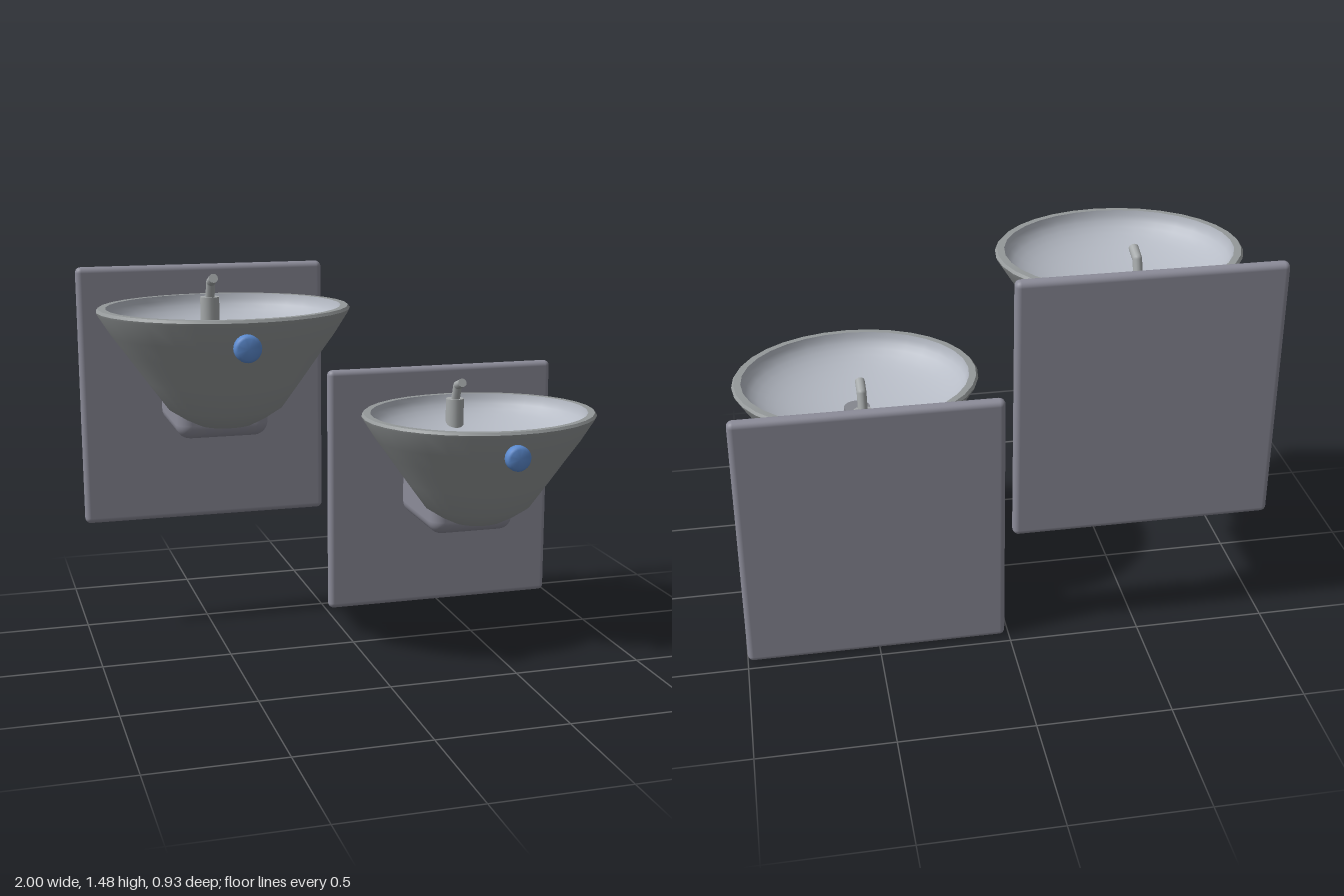
import * as THREE from 'three';
import { toCreasedNormals } from 'three/addons/utils/BufferGeometryUtils.js';
import { RoundedBoxGeometry } from 'three/addons/geometries/RoundedBoxGeometry.js';

const material = (name, color) => new THREE.MeshStandardMaterial({ name, color });

function part(name, geometry, mat, x = 0, y = 0, z = 0) {
  const mesh = new THREE.Mesh(geometry, mat);
  mesh.name = name;
  mesh.position.set(x, y, z);
  return mesh;
}

// Surface of revolution; ascending points face outward
function lathe(points, segments, crease = 0.5) {
  const geometry = new THREE.LatheGeometry(points.map(([r, y]) => new THREE.Vector2(r, y)), segments);
  return toCreasedNormals(geometry, crease);
}

// Round rod between two points
function rod(name, from, to, radius, mat) {
  const a = new THREE.Vector3(...from), b = new THREE.Vector3(...to);
  const mesh = part(name, new THREE.CylinderGeometry(radius, radius, a.distanceTo(b), 12), mat);
  mesh.position.copy(a).add(b).multiplyScalar(0.5);
  mesh.quaternion.setFromUnitVectors(new THREE.Vector3(0, 1, 0), b.sub(a).normalize());
  return mesh;
}

function createFountain(mats) {
  const fountain = new THREE.Group();
  const rimY = 0.922, depth = 0.155, ratio = 0.87, bowlZ = 0.033;

  // Wall panel and the arm that carries the basin
  fountain.add(part('wallPanel', new RoundedBoxGeometry(0.985, 1.03, 0.05, 3, 0.022), mats.panel, 0, 0.515, -0.44));
  fountain.add(part('supportArm', new RoundedBoxGeometry(0.355, 0.355, 0.43, 4, 0.055), mats.panel, 0, 0.588, -0.215));

  // Oval basin: outer shell with rim, and a shallow inner bowl
  const basin = new THREE.Group();
  basin.name = 'basin';
  basin.position.set(0, rimY, bowlZ);
  basin.scale.z = ratio;
  basin.add(part('basinShell', lathe([
    [0, -0.445], [0.1, -0.445], [0.155, -0.418], [0.214, -0.38], [0.29, -0.275],
    [0.364, -0.17], [0.415, -0.1], [0.467, -0.018], [0.47, -0.01], [0.462, 0], [0.435, 0],
  ], 32), mats.shell));
  const inner = [];
  for (let i = 0; i <= 12; i++) {
    const t = (i / 12) * Math.PI / 2;
    inner.push([0.435 * Math.cos(t), -depth * Math.sin(t)]);
  }
  basin.add(part('innerBowl', lathe(inner, 32, 1), mats.bowl));
  fountain.add(basin);

  // Drain cover on the bowl floor
  fountain.add(part('drain', new THREE.CylinderGeometry(0.05, 0.05, 0.03, 24), mats.drain, 0, rimY - 0.148, 0.03));

  // Spout: base post and bent pipe
  const spout = new THREE.Group();
  spout.name = 'spout';
  spout.position.set(0, rimY, -0.25);
  const post = new THREE.CylinderGeometry(0.037, 0.037, 0.12, 20);
  spout.add(part('spoutBase', post, mats.metal, 0, -0.06, 0));
  const bend = [0, 0.06, 0.03];
  spout.add(rod('spoutRiser', [0, -0.01, 0.005], bend, 0.018, mats.metal));
  spout.add(rod('spoutNozzle', bend, [0, 0.08, 0.087], 0.018, mats.metal));
  spout.add(part('spoutElbow', new THREE.SphereGeometry(0.018, 12, 8), mats.metal, ...bend));
  fountain.add(spout);

  // Push button with softened edges
  const button = part('pushButton', lathe([
    [0, 0], [0.04, 0], [0.049, 0.008], [0.049, 0.03], [0.045, 0.038], [0.037, 0.042], [0, 0.042],
  ], 24, 0.9), mats.button, 0, 0.824, 0.425);
  button.rotation.x = Math.PI / 2;
  fountain.add(button);
  return fountain;
}

export function createModel() {
  const mats = {
    panel: material('panelGrey', 0x8c8c99),
    shell: material('basinGrey', 0x949899),
    bowl: material('bowlLightGrey', 0xb6bbc5),
    drain: material('drainGrey', 0x85878f),
    metal: material('spoutMetal', 0xa6aaab),
    button: material('buttonBlue', 0x5c8bd0),
  };
  const model = new THREE.Group();
  model.name = 'drinkingFountains';
  // High unit on the right, low unit on the left
  for (const [name, x, y] of [['highFountain', -0.507, 0.454], ['lowFountain', 0.507, 0]]) {
    const fountain = createFountain(mats);
    fountain.name = name;
    fountain.position.set(x, y, 0);
    model.add(fountain);
  }
  return model;
}
